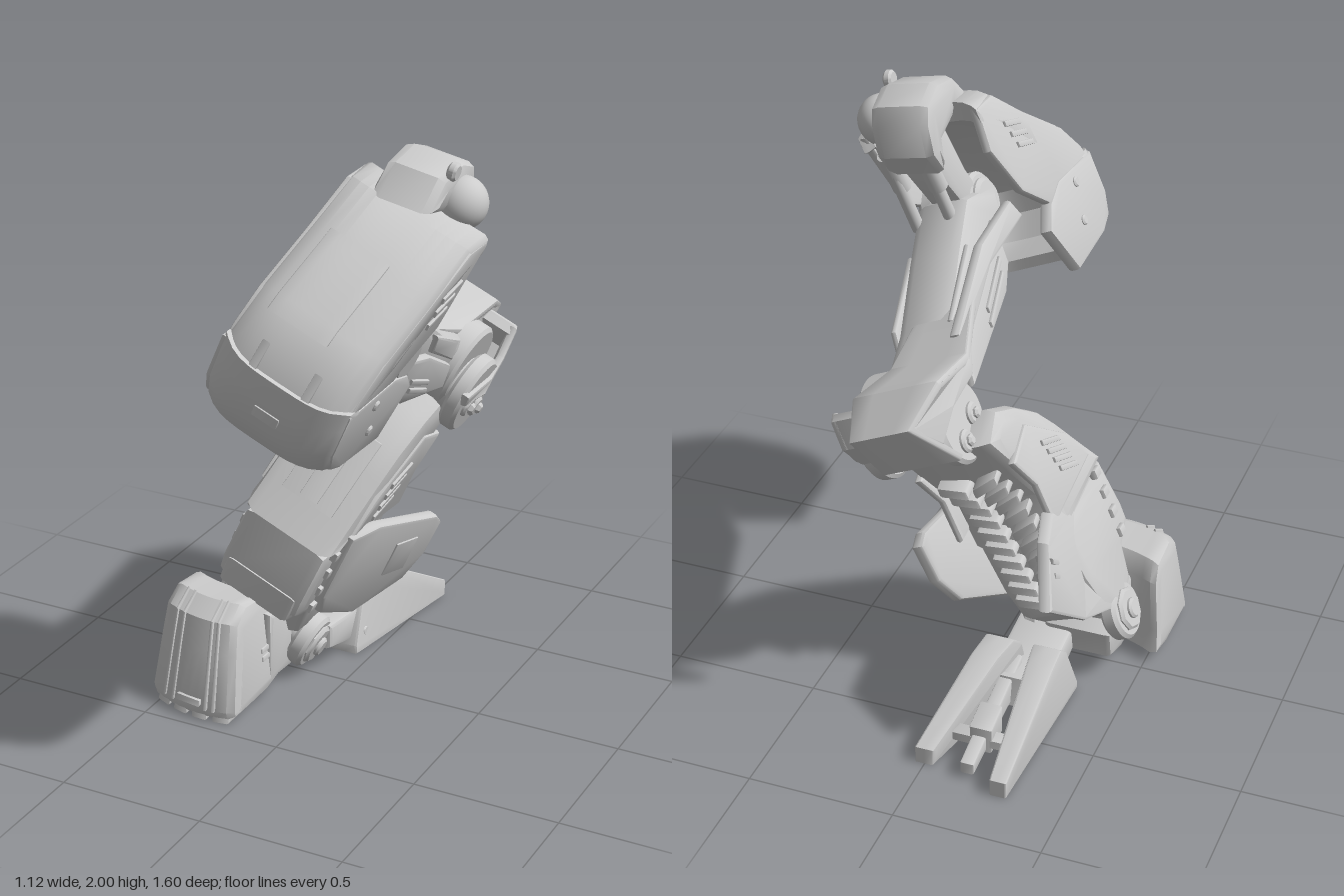
import * as THREE from 'three';
import { toCreasedNormals } from 'three/addons/utils/BufferGeometryUtils.js';

const grey = new THREE.MeshStandardMaterial({ color: 0xcccccc, side: THREE.DoubleSide });

// Leaning frames: the mid-plane passes through (x, y) and leans by a; u runs sideways across it
const ARMOUR = { x: 0.23, y: 1.53, a: 0.42 };
const HIP = { x: 0.4, y: 1.88, a: 0.2 };
const THIGH = { x: 0.16, y: 1.12, a: 0.42 };
const SHIN = { x: -0.13, y: 0.6, a: 0.42 };
const OUTER = { x: -0.375, y: 0.6, a: 0.06 };
const INNER = { x: 0.02, y: 0.45, a: 0.42 };
const TOE = { x: -0.36, y: 0, a: 0 };

function place(f, z, y, u) {
  return new THREE.Vector3(f.x + Math.tan(f.a) * (y - f.y) + u * Math.cos(f.a), y - u * Math.sin(f.a), z);
}

export function createModel() {
  const model = new THREE.Group();
  const add = (name, geo) => {
    const m = new THREE.Mesh(geo, grey);
    m.name = name;
    model.add(m);
    return m;
  };

  // Side outline of [z, y] points, extruded across the frame from u0 to u1
  function slab(name, f, pts, u0, u1, bevel = 0.012, deform = null, steps = 1) {
    const b = Math.min(bevel, (u1 - u0) * 0.45);
    const shape = new THREE.Shape(pts.map(([z, y]) => new THREE.Vector2(-z, y)));
    const geo = new THREE.ExtrudeGeometry(shape, {
      depth: u1 - u0 - 2 * b, steps, bevelEnabled: b > 0, bevelThickness: b,
      bevelSize: b, bevelOffset: -b, bevelSegments: 2,
    });
    const p = geo.attributes.position;
    for (let i = 0; i < p.count; i++) {
      const v = { z: -p.getX(i), y: p.getY(i), u: p.getZ(i) + u0 + b };
      if (deform) deform(v);
      const w = place(f, v.z, v.y, v.u);
      p.setXYZ(i, w.x, w.y, w.z);
    }
    return add(name, toCreasedNormals(geo, 0.6));
  }

  // Stepped disc whose axle runs across the frame
  function disc(name, f, z, y, u, r, len, sides = 32) {
    const h = len / 2, e = Math.min(0.012, h * 0.5);
    const prof = [[0, -h], [r - e, -h], [r, -h + e], [r, h - e], [r - e, h], [0, h]];
    const m = add(name, toCreasedNormals(new THREE.LatheGeometry(prof.map(q => new THREE.Vector2(...q)), sides), 0.6));
    m.position.copy(place(f, z, y, u));
    m.rotation.z = -(Math.PI / 2 + f.a);
  }

  // Round bar between two points
  function rod(name, p, q, r, sides = 14) {
    const d = q.clone().sub(p);
    const m = add(name, new THREE.CylinderGeometry(r, r, d.length(), sides));
    m.position.copy(p).addScaledVector(d, 0.5);
    m.quaternion.setFromUnitVectors(new THREE.Vector3(0, 1, 0), d.normalize());
  }

  // Row of slanted slots
  function vents(name, f, z, y, u, n, dz, dy, len, slope, h, deform) {
    for (let i = 0; i < n; i++) {
      const a = z + i * dz, c = y + i * dy;
      slab(name, f, [[a, c], [a - len, c + slope], [a - len, c + slope + h], [a, c + h]], u - 0.008, u + 0.008, 0.003, deform);
    }
  }

  // Thigh armour: rounded front bands closed by side plates
  const roundFront = v => {
    const q = Math.pow(Math.abs(v.u) / 0.23, 4);
    v.z -= 0.055 * q;
    v.y -= 0.025 * q * (v.y > 1.47 ? 1 : -1);
  };
  slab('upperArmourBand', ARMOUR, [[0.2, 1.86], [0.32, 1.85], [0.48, 1.73], [0.67, 1.6], [0.76, 1.5], [0.795, 1.39],
    [0.7, 1.39], [0.62, 1.49], [0.45, 1.63], [0.3, 1.76], [0.2, 1.8]], -0.235, 0.225, 0.02, roundFront, 12);
  slab('lowerArmourBand', ARMOUR, [[0.8, 1.43], [0.8, 1.37], [0.795, 1.28], [0.755, 1.215], [0.68, 1.19], [0.52, 1.185],
    [0.52, 1.22], [0.67, 1.23], [0.73, 1.3], [0.73, 1.43]], -0.238, 0.23, 0.02, roundFront, 12);
  slab('frontPanel', ARMOUR, [[0.46, 1.752], [0.484, 1.736], [0.673, 1.606], [0.71, 1.565], [0.68, 1.56], [0.46, 1.72]], -0.16, 0.06, 0.004, roundFront, 6);
  for (const u of [-0.1, 0.09]) {
    slab('frontSlot', ARMOUR, [[0.76, 1.508], [0.795, 1.42], [0.78, 1.41], [0.74, 1.49]], u - 0.014, u + 0.014, 0.004, roundFront);
  }
  slab('lowerFrontSlot', ARMOUR, [[0.804, 1.34], [0.803, 1.31], [0.75, 1.31], [0.76, 1.34]], -0.04, 0.05, 0.004);
  const plateBack = { '-1': [[0.5, 1.4], [0.38, 1.41], [0.22, 1.53], [0.13, 1.7]], 1: [[0.5, 1.41], [0.44, 1.47], [0.26, 1.56], [0.22, 1.66]] };
  for (const s of [-1, 1]) {
    const u = s < 0 ? -0.217 : 0.207;
    slab('upperSidePlate', ARMOUR, [[0.16, 1.83], [0.28, 1.825], [0.44, 1.7], [0.63, 1.57], [0.71, 1.475], [0.742, 1.4],
      ...plateBack[s]], u - 0.018, u + 0.018);
    slab('lowerSidePlate', ARMOUR, [[0.747, 1.44], [0.46, 1.46], [0.35, 1.43], [0.275, 1.37], [0.36, 1.2], [0.62, 1.21],
      [0.7, 1.235], [0.742, 1.3]], u - 0.024, u + 0.024);
    vents('sideVent', ARMOUR, 0.4, 1.61, u + s * 0.019, 3, -0.015, 0.04, 0.1, 0.03, 0.018);
    for (const [z, y] of [[0.56, 1.41], [0.51, 1.3]]) disc('bolt', ARMOUR, z, y, u + s * 0.022, 0.018, 0.02, 12);
  }

  // Hip cap, ball and links
  slab('hipCap', HIP, [[0.33, 1.86], [0.25, 1.95], [0.13, 1.975], [0.03, 1.94], [0, 1.88], [0, 1.78], [0.06, 1.7],
    [0.09, 1.8], [0.2, 1.83]], -0.155, 0.06, 0.035);
  const ball = add('hipBall', new THREE.SphereGeometry(0.085, 32, 20));
  ball.position.set(0.465, 1.84, 0.14);
  disc('hipPin', HIP, 0.2, 1.965, 0.05, 0.03, 0.03, 20);
  slab('hipLink', HIP, [[0.2, 1.86], [0.07, 1.82], [0.1, 1.7], [0.24, 1.52], [0.36, 1.36], [0.44, 1.42], [0.32, 1.6]], -0.09, 0.03);
  for (const u of [-0.06, 0.07]) {
    rod('hipPiston', place(HIP, 0.08, 1.8, u), place(THIGH, 0.2, 1.46, u), 0.022);
    rod('hipPistonSleeve', place(HIP, 0.1, 1.75, u), place(HIP, 0.16, 1.61, u), 0.032);
  }

  // Thigh body with side covers
  slab('thighCore', THIGH, [[0.45, 1.47], [0.24, 1.51], [0.05, 1.41], [-0.18, 1.28], [-0.32, 1.23], [-0.42, 1.12],
    [-0.25, 1.07], [0.19, 1.2], [0.3, 1.25], [0.42, 1.36]], -0.13, 0.08, 0.04);
  for (const s of [-1, 1]) {
    const u = s < 0 ? -0.13 : 0.085;
    slab('thighSidePlate', THIGH, [[0.3, 1.4], [0.1, 1.34], [-0.2, 1.19], [-0.23, 1.09], [0.19, 1.2], [0.28, 1.26]], u - 0.02, u + 0.02);
    slab('kneeSidePlate', THIGH, [[0.1, 1.41], [-0.18, 1.29], [-0.21, 1.2], [0.08, 1.34]], u - 0.012, u + 0.012);
    vents('thighSlot', THIGH, 0.22, 1.29, u + s * 0.022, 2, -0.02, -0.04, 0.2, -0.08, 0.018);
    disc('thighPivot', THIGH, 0.38, 1.44, s * 0.07, 0.1, 0.06);
    disc('thighPivotRing', THIGH, 0.38, 1.44, s * 0.095, 0.075, 0.05);
  }
  slab('outerThighStrip', THIGH, [[0.42, 1.35], [0.38, 1.42], [0.1, 1.4], [-0.26, 1.27], [-0.24, 1.21], [0.1, 1.33]], -0.19, -0.15);

  // Thin hood over the back of the knee, narrowing to the front and at the tip
  const hoodTaper = v => {
    const k = THREE.MathUtils.clamp((v.z + 0.4) / 0.45, 0, 1);
    const tip = THREE.MathUtils.clamp((-0.58 - v.z) / 0.14, 0, 1);
    v.u = -0.09 + (v.u + 0.09) * (1 - 0.55 * k - 0.3 * tip) + 0.03 * tip;
  };
  slab('kneeHood', THIGH, [[0.05, 1.35], [-0.34, 1.24], [-0.58, 1.27], [-0.72, 1.195], [-0.61, 1.03], [-0.595, 1.04],
    [-0.69, 1.19], [-0.57, 1.24], [-0.34, 1.21], [0.04, 1.32]], -0.25, 0.06, 0.008, hoodTaper, 4);
  for (const u of [-0.24, 0.05]) {
    slab('hoodCheek', THIGH, [[-0.25, 1.25], [-0.34, 1.23], [-0.57, 1.26], [-0.71, 1.19], [-0.64, 1.1], [-0.55, 1.17], [-0.36, 1.18]],
      u - 0.01, u + 0.01, 0.005, hoodTaper);
  }

  // Knee joint, with a strap that wraps round behind it
  disc('kneeDrum', THIGH, -0.4, 1.1, 0, 0.16, 0.23, 40);
  disc('kneeAxle', THIGH, -0.37, 1.05, 0.01, 0.11, 0.3);
  for (const [s, u] of [[-1, -0.115], [1, 0.155]]) {
    disc('kneeDisc', THIGH, -0.37, 1.05, u, 0.14, 0.06, 40);
    for (const [z, y] of [[-0.31, 1.04], [-0.41, 1.0]]) {
      disc('kneeBoss', THIGH, z, y, u + s * 0.03, 0.038, 0.03, 20);
      disc('kneeBossCap', THIGH, z, y, u + s * 0.045, 0.02, 0.03, 6);
    }
  }
  slab('kneeStrapArm', THIGH, [[-0.23, 1.11], [-0.42, 1.11], [-0.5, 1.15], [-0.56, 1.23], [-0.6, 1.22], [-0.61, 1.13],
    [-0.55, 1.06], [-0.42, 1.04], [-0.24, 1.07]], 0.17, 0.2, 0.01, v => { v.u -= Math.max(0, -0.46 - v.z) * 0.3; });
  slab('kneeStrapBack', THIGH, [[-0.54, 1.21], [-0.57, 1.23], [-0.6, 1.22], [-0.61, 1.13], [-0.55, 1.05], [-0.52, 1.07],
    [-0.57, 1.14]], -0.13, 0.16, 0.01);

  // Upper shin with front panel
  slab('upperShin', SHIN, [[-0.18, 1.01], [-0.06, 0.93], [0.015, 0.85], [0.13, 0.71], [0.2, 0.62], [-0.22, 0.57],
    [-0.23, 0.73], [-0.33, 0.87], [-0.42, 1.0], [-0.3, 1.06]], -0.18, 0.18, 0.045);
  slab('upperShinPanel', SHIN, [[-0.05, 0.928], [0.019, 0.855], [0.132, 0.716], [0.1, 0.7], [-0.08, 0.92]], -0.1, 0.1, 0.004);
  slab('upperShinRidge', SHIN, [[-0.02, 0.906], [0.024, 0.86], [0.13, 0.726], [0.1, 0.72], [-0.03, 0.88]], -0.035, 0.035, 0.004);
  for (const s of [-1, 1]) {
    slab('shinCheek', SHIN, [[-0.2, 0.95], [0.02, 0.8], [0.1, 0.68], [-0.28, 0.64], [-0.28, 0.78], [-0.36, 0.9]], s * 0.175 - 0.015, s * 0.175 + 0.015);
    vents('shinVent', SHIN, -0.01, 0.7, s * 0.191, 4, -0.014, 0.037, 0.11, 0.04, 0.018);
  }

  // Lower shin
  slab('lowerShin', SHIN, [[0.2, 0.62], [0.225, 0.44], [0.22, 0.38], [0.12, 0.34], [0.08, 0.24], [-0.06, 0.2],
    [-0.16, 0.28], [-0.2, 0.4], [-0.22, 0.58]], -0.165, 0.165, 0.04);
  slab('shinCollar', SHIN, [[0.232, 0.45], [0.23, 0.36], [0.1, 0.32], [0.1, 0.43]], -0.14, 0.14, 0.02);
  for (let i = 0; i < 4; i++) {
    for (const s of [-1, 1]) {
      slab('shinClip', SHIN, [[0.14, 0.62 - i * 0.07], [0.1, 0.62 - i * 0.07], [0.1, 0.59 - i * 0.07], [0.14, 0.59 - i * 0.07]], s * 0.165 - 0.015, s * 0.165 + 0.015, 0.005);
    }
  }

  // Flared inner calf plate
  const flare = v => { v.u += (0.11 - v.z) * 0.36; };
  slab('innerCalfPlate', INNER, [[0.11, 0.6], [0, 0.63], [-0.27, 0.61], [-0.305, 0.58], [-0.3, 0.45], [-0.25, 0.35],
    [-0.07, 0.25], [0.09, 0.29], [0.12, 0.36]], -0.045, 0, 0.012, flare);
  slab('innerCalfPanel', INNER, [[-0.12, 0.53], [-0.21, 0.54], [-0.21, 0.41], [-0.12, 0.4]], -0.01, 0.006, 0.004, flare);

  // Long outer calf fin with slots, its upper edge twisting in to meet the leaning shin
  const twist = v => { v.u += (v.y - 0.34) * 0.55 * THREE.MathUtils.clamp((v.z + 0.62) / 0.7, 0, 1); };
  slab('outerCalfFin', OUTER, [[0.1, 0.52], [0.08, 0.62], [-0.29, 0.77], [-0.51, 0.81], [-0.635, 0.64], [-0.3, 0.38],
    [-0.05, 0.28], [0.07, 0.34]], -0.022, 0.022, 0.012, twist);
  for (const u of [-0.022, 0.022]) vents('finSlot', OUTER, -0.33, 0.5, u, 3, -0.01, 0.06, 0.18, 0.13, 0.022, twist);

  // Flexible ribs down the back of the shin, each pair forming a shallow V
  for (let i = 0; i < 10; i++) {
    const k = i / 9, y = 0.86 - 0.48 * k, z = -0.27 + 0.07 * k - (k < 0.25 ? (0.25 - k) * 0.3 : 0);
    for (const s of [-1, 1]) {
      slab('backRib', SHIN, [[z + 0.06, y + 0.02], [z - 0.03, y - 0.002], [z - 0.03, y - 0.03], [z + 0.06, y - 0.012]],
        s * 0.06 - 0.05, s * 0.06 + 0.05, 0.01, v => { v.y += (Math.abs(v.u) - 0.06) * 0.3; });
    }
  }

  // Ankle
  disc('ankleAxle', SHIN, 0, 0.2, 0.02, 0.06, 0.32);
  for (const [z, u, s] of [[-0.04, -0.135, -1], [0, 0.18, 1]]) {
    disc('ankleDisc', SHIN, z, 0.2, u, 0.1, 0.06, 36);
    disc('ankleRing', SHIN, z, 0.2, u + s * 0.025, 0.075, 0.04, 8);
    disc('ankleHub', SHIN, z, 0.2, u + s * 0.045, 0.035, 0.03, 12);
  }
  slab('ankleBlock', TOE, [[0.2, 0.3], [0.02, 0.28], [-0.1, 0.18], [-0.08, 0.08], [0.04, 0.04], [0.2, 0.05]], -0.06, 0.18, 0.02);

  // Front toe: one rounded, slightly turned shell with raised ridges and a ribbed sole
  const splay = v => {
    v.u *= 1 - 0.5 * v.y;
    v.z += 0.16 * v.u - 1.3 * v.u * v.u;
  };
  slab('toeShell', TOE, [[0.445, 0.015], [0.45, 0.04], [0.4, 0.23], [0.37, 0.33], [0.3, 0.375], [0.17, 0.36],
    [0.13, 0.3], [0.12, 0.12], [0.1, 0.04], [0.22, 0.015]], -0.195, 0.18, 0.035, splay, 8);
  for (const u of [-0.11, -0.07, 0.07, 0.1]) {
    slab('toeRidge', TOE, [[0.459, 0.04], [0.409, 0.23], [0.379, 0.335], [0.302, 0.382], [0.29, 0.35], [0.38, 0.2], [0.42, 0.04]],
      u - 0.006, u + 0.006, 0.002, splay);
  }
  for (const u of [-0.12, -0.04, 0.04, 0.12]) {
    slab('soleRib', TOE, [[0.45, 0], [0.44, 0.04], [0.15, 0.05], [0.13, 0.03], [0.24, 0]], u - 0.03, u + 0.03, 0.006, splay);
  }
  slab('toeLight', TOE, [[0.455, 0.07], [0.46, 0.05], [0.4, 0.05], [0.4, 0.07]], -0.05, 0.05, 0.004, splay);
  vents('toeVent', TOE, 0.25, 0.17, 0.178, 2, 0, -0.03, 0.1, 0, 0.018, splay);

  // Heel: base, two diverging blades and a centre strut
  slab('heelBase', TOE, [[-0.04, 0.17], [-0.2, 0.15], [-0.4, 0.16], [-0.42, 0.06], [-0.2, 0.04], [-0.04, 0.08]], 0.08, 0.28, 0.015);
  for (const [x, drift, tip] of [[-0.28, 0, -0.8], [-0.125, 0.29, -0.73]]) {
    const frame = { x, y: 0, a: 0 };
    const taper = v => {
      const k = THREE.MathUtils.clamp((-0.25 - v.z) / 0.55, 0, 1);
      v.u = v.u * (1 - 0.45 * k) + drift * Math.max(0, -0.3 - v.z) + (drift ? 0.1 * (0.25 - v.y) * (1 - k) : 0);
    };
    slab('heelBlade', frame, [[-0.18, 0], [-0.18, 0.03], [-0.29, 0.23], [-0.34, 0.27], [-0.42, 0.24], [tip, 0.06], [tip, 0]], -0.055, 0.055, 0.01, taper, 2);
    for (const z of [-0.25, -0.29]) disc('heelBolt', frame, z, 0.06, 0.07, 0.02, 0.02, 14);
  }
  slab('heelStrut', TOE, [[-0.3, 0.18], [-0.75, 0.06], [-0.75, 0.02], [-0.3, 0.08]], 0.18, 0.23, 0.008);
  slab('heelStrutBlock', TOE, [[-0.54, 0.15], [-0.64, 0.12], [-0.64, 0.03], [-0.54, 0.05]], 0.16, 0.24, 0.008);
  slab('heelCrossbar', TOE, [[-0.6, 0.09], [-0.64, 0.08], [-0.64, 0.05], [-0.6, 0.06]], 0.08, 0.3, 0.006);

  return model;
}
